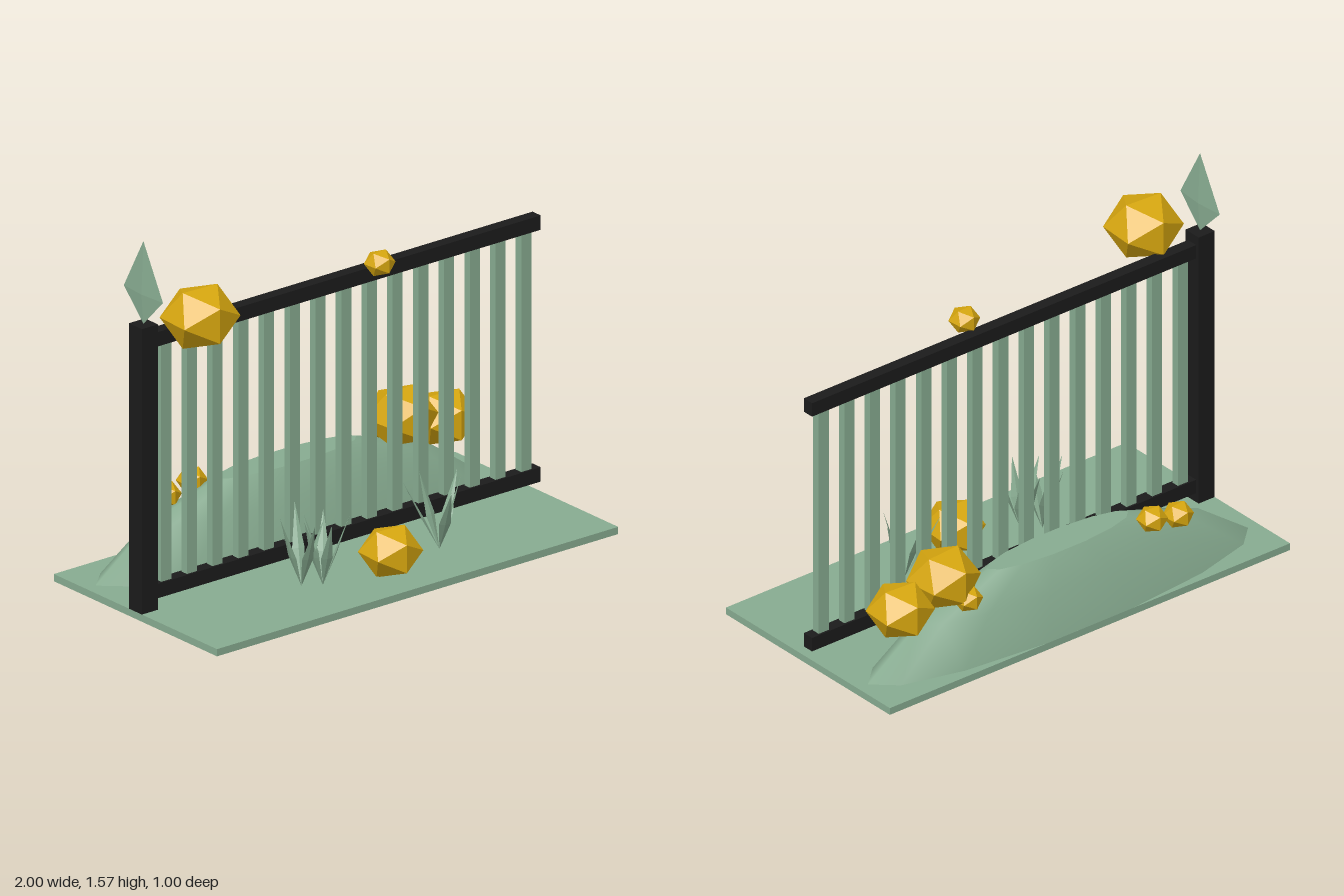
import * as THREE from 'three';

const mat = (name, color, flatShading = true) => {
  const m = new THREE.MeshStandardMaterial({ color, flatShading });
  m.name = name;
  return m;
};

export function createModel() {
  const model = new THREE.Group();
  model.name = 'gardenFence';
  const sage = mat('sage green', 0x87ab90);
  const black = mat('black iron', 0x1b1b1b);
  const gold = mat('gold', 0xd6a60f);
  // same green, smooth normals for the mound
  const smoothSage = mat('sage green', 0x87ab90, false);

  const add = (name, geometry, material, x = 0, y = 0, z = 0, parent = model) => {
    const mesh = new THREE.Mesh(geometry, material);
    mesh.name = name;
    mesh.position.set(x, y, z);
    parent.add(mesh);
    return mesh;
  };
  const box = (name, w, h, d, material, x, y, z) =>
    add(name, new THREE.BoxGeometry(w, h, d), material, x, y, z);

  // Ground slab and iron frame
  box('groundSlab', 2, 0.03, 1, sage, 0, 0.015, 0);
  box('endPost', 0.08, 1.19, 0.08, black, -0.96, 0.625, 0);
  box('lowerRail', 1.93, 0.06, 0.05, black, 0.035, 0.1, 0);
  box('upperRail', 1.93, 0.06, 0.05, black, 0.035, 1.15, 0);

  // Upright bars
  for (let i = 0; i < 15; i++) {
    box('fenceBar', 0.05, 1.0, 0.034, sage, -0.86 + i * 0.1282, 0.625, 0);
  }

  // Long smooth mound with a flat crown
  const mound = new THREE.Group();
  mound.name = 'mound';
  mound.position.z = -0.305;
  mound.scale.z = 0.2 / 0.95;
  model.add(mound);
  const profile = [[0.95, 0.03], [0.7, 0.21], [0.35, 0.325]].map(p => new THREE.Vector2(...p));
  add('moundSide', new THREE.LatheGeometry(profile, 14).rotateY(Math.PI / 2), smoothSage, 0, 0, 0, mound);
  add('moundCrown', new THREE.CircleGeometry(0.35, 14).rotateX(-Math.PI / 2), smoothSage, 0, 0.325, 0, mound);

  // Faceted golden blooms: x, y, z, radius
  const blooms = [
    [-0.785, 1.248, 0.132, 0.157], [0.165, 1.208, 0.065, 0.063],
    [0.02, 0.12, 0.31, 0.127], [0.56, 0.36, -0.29, 0.148],
    [0.78, 0.297, -0.295, 0.135], [-0.535, 0.28, -0.385, 0.063],
    [-0.405, 0.308, -0.385, 0.063], [0.515, 0.29, -0.385, 0.06],
  ];
  blooms.forEach(([x, y, z, r], i) => {
    const bloom = add('goldenBloom', new THREE.IcosahedronGeometry(r, 0), gold, x, y, z);
    bloom.scale.y = 0.87;
    bloom.rotation.y = i % 2 ? 0.08 : -0.06;
  });

  // Thin kite-shaped leaf standing on its point, widest at fraction f
  const leaf = (height, halfWidth, halfDepth, f) => {
    const g = new THREE.OctahedronGeometry(1, 0);
    const p = g.attributes.position;
    for (let i = 0; i < p.count; i++) {
      const y = p.getY(i);
      p.setXYZ(i, p.getX(i) * halfWidth, height * (y > 0.5 ? 1 : y < -0.5 ? 0 : f), p.getZ(i) * halfDepth);
    }
    g.computeVertexNormals();
    return g;
  };
  add('postLeaf', leaf(0.345, 0.01, 0.12, 0.36), sage, -0.96, 1.22, 0);

  // Grass tufts: root position and the offset of each blade tip
  const tufts = [
    { root: [-0.335, 0.2], tips: [[-0.1, 0.29, 0], [-0.05, 0.27, -0.07], [0.06, 0.3, -0.115], [0.09, 0.27, 0.03], [-0.025, 0.29, 0.115]] },
    { root: [-0.265, 0.245], tips: [[0.075, 0.27, -0.09], [0.08, 0.3, 0.07], [-0.025, 0.28, 0.085], [-0.1, 0.29, 0.01], [-0.015, 0.27, -0.1]] },
    { root: [0.32, 0.24], tips: [[-0.11, 0.28, -0.09], [-0.02, 0.3, -0.1], [0.12, 0.29, -0.04], [0.07, 0.3, 0.045], [-0.04, 0.28, 0.125]] },
  ];
  for (const { root, tips } of tufts) {
    const tuft = new THREE.Group();
    tuft.name = 'grassTuft';
    tuft.position.set(root[0], 0.03, root[1]);
    model.add(tuft);
    for (const [x, y, z] of tips) {
      const up = new THREE.Vector3(x, y, z);
      const blade = add('grassBlade', leaf(up.length(), 0.025, 0.005, 0.45), sage, 0, 0, 0, tuft);
      // blade width runs across its leaning direction
      const across = new THREE.Vector3(z, 0, -x).normalize();
      up.normalize();
      const facing = new THREE.Vector3().crossVectors(across, up);
      blade.setRotationFromMatrix(new THREE.Matrix4().makeBasis(across, up, facing));
    }
  }
  return model;
}
